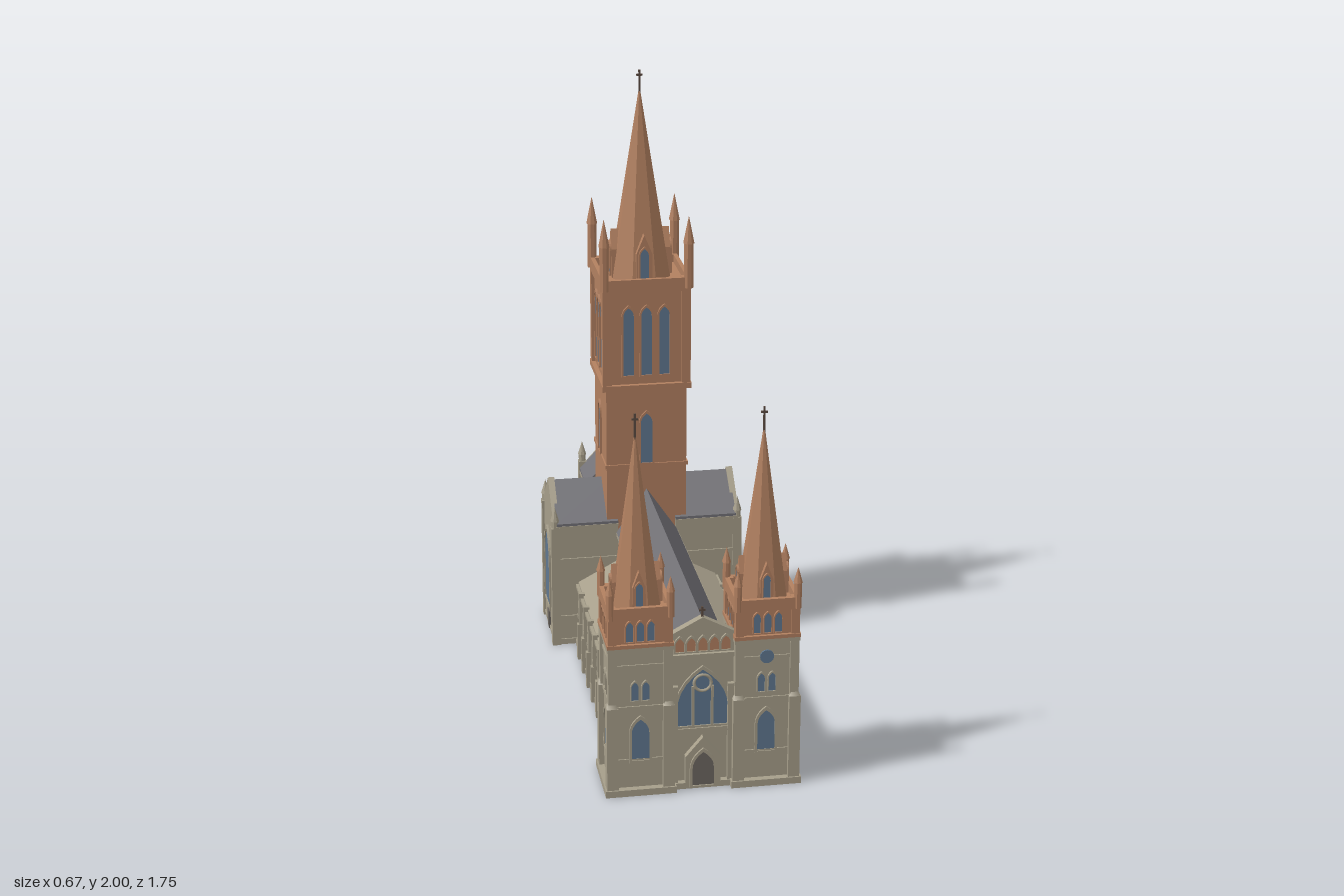
import * as THREE from 'three';

const mat = (name, color) => {
  const m = new THREE.MeshStandardMaterial({ color });
  m.name = name;
  return m;
};
const stone = mat('grey stone', 0xa69e8a);
const sand = mat('red sandstone', 0xb28060);
const slate = mat('slate', 0x727176);
const glass = mat('window glass', 0x5f7790);
const wood = mat('door wood', 0x6c6661);
const iron = mat('iron', 0x5a4a40);

function add(parent, name, geo, material, x = 0, y = 0, z = 0) {
  const m = new THREE.Mesh(geo, material);
  m.name = name;
  m.position.set(x, y, z);
  parent.add(m);
  return m;
}
function sub(parent, name, x = 0, z = 0, turn = 0) {
  const g = new THREE.Group();
  g.name = name;
  g.position.set(x, 0, z);
  g.rotation.y = turn;
  parent.add(g);
  return g;
}
const corners = [[1, 1], [1, -1], [-1, 1], [-1, -1]];

// box given by its two opposite corners
function block(p, name, m, x0, x1, y0, y1, z0, z1) {
  return add(p, name, new THREE.BoxGeometry(Math.abs(x1 - x0), y1 - y0, Math.abs(z1 - z0)), m,
    (x0 + x1) / 2, (y0 + y1) / 2, (z0 + z1) / 2);
}
const poly = pts => new THREE.Shape(pts.map(q => new THREE.Vector2(q[0], q[1])));
const extrude = (shape, depth) => new THREE.ExtrudeGeometry(shape, { depth, bevelEnabled: false, curveSegments: 5 });
const square = h => [[-h, -h], [h, -h], [h, h], [-h, h]];

// hollow square band of walls
function ring(p, name, m, half, t, y0, y1) {
  const s = poly(square(half));
  s.holes.push(poly(square(half - t)));
  return add(p, name, extrude(s, y1 - y0).rotateX(-Math.PI / 2), m, 0, y0, 0);
}
function cone(p, name, m, r, y0, y1, x = 0, z = 0) {
  const g = new THREE.ConeGeometry(r, y1 - y0, 8).rotateY(Math.PI / 8).toNonIndexed();
  g.computeVertexNormals();
  return add(p, name, g, m, x, (y0 + y1) / 2, z);
}
function arch(w, h, y0 = 0, rise = 0.85 * w) {
  const a = w / 2, s = h - rise, c = s + rise * 0.6;
  const sh = new THREE.Shape();
  sh.moveTo(-a, y0).lineTo(a, y0).lineTo(a, s);
  sh.quadraticCurveTo(a, c, 0, h).quadraticCurveTo(-a, c, -a, s);
  return sh.closePath();
}
// pointed window with a raised frame, facing +z
function lancet(p, w, h, x, y, z, frameMat = stone, paneMat = glass) {
  const t = Math.min(0.008, w * 0.16);
  add(p, 'windowPane', extrude(arch(w, h), 0.004), paneMat, x, y, z - 0.001);
  const f = arch(w + 2 * t, h + 1.6 * t, -t);
  f.holes.push(arch(w, h));
  add(p, 'windowFrame', extrude(f, 0.008), frameMat, x, y, z - 0.001);
}
function pinnacle(p, m, x, z, r, y0, y1, y2) {
  const g = new THREE.CylinderGeometry(r, r, y1 - y0, 8).rotateY(Math.PI / 8).toNonIndexed();
  g.computeVertexNormals();
  add(p, 'pinnacleShaft', g, m, x, (y0 + y1) / 2, z);
  cone(p, 'pinnacleCap', m, r * 1.2, y1, y2, x, z);
}
function cross(p, y0, y1, z = 0) {
  const b = y0 + (y1 - y0) * 0.6;
  block(p, 'crossPost', iron, -0.003, 0.003, y0 - 0.03, y1, z - 0.003, z + 0.003);
  block(p, 'crossBar', iron, -0.01, 0.01, b, b + 0.006, z - 0.003, z + 0.003);
}

// belfry stage with corner piers, parapet, pinnacles, spire and dormers
function belfry(p, o) {
  const { half: H, y0, deck, top, tip, end, r, inset, pier } = o;
  block(p, 'belfryBody', sand, -H + inset, H - inset, y0, deck, -H + inset, H - inset);
  ring(p, 'belfryFoot', sand, H + 0.003, 0.03, y0, y0 + o.foot);
  ring(p, 'parapet', sand, H, 0.014, deck - o.foot, top);
  for (const [i, j] of corners) {
    const c = H - pier / 2;
    add(p, 'belfryPier', new THREE.BoxGeometry(pier, top - y0, pier), sand, i * c, (y0 + top) / 2, j * c);
    pinnacle(p, sand, i * (H - 0.007), j * (H - 0.007), o.pinR, deck - 0.01, o.pinY, o.pinTip);
  }
  cone(p, 'spire', sand, r, deck, tip);
  cross(p, tip, end);
  const w = r * 0.52, e = deck + o.dormer * 0.6;
  for (let k = 0; k < 4; k++) {
    const side = sub(p, 'belfrySide', 0, 0, k * Math.PI / 2);
    for (const i of [-1, 0, 1]) lancet(side, o.winW, o.winH, i * o.gap, o.winY, H - inset, sand);
    // dormer on the spire
    const s = poly([[-w / 2, deck], [w / 2, deck], [w / 2, e], [0, deck + o.dormer], [-w / 2, e]]);
    add(side, 'spireDormer', extrude(s, r * 0.45), sand, 0, 0, r * 0.5);
    lancet(side, w * 0.55, o.dormer * 0.66, 0, deck + 0.01, r * 0.95, sand);
  }
}

function westTower(root, s) {
  const p = sub(root, s > 0 ? 'leftWestTower' : 'rightWestTower', s * 0.197, 0.765);
  ring(p, 'towerWalls', stone, 0.09, 0.02, 0, 0.5);
  ring(p, 'towerPlinth', stone, 0.111, 0.03, 0, 0.022);
  for (const y of [0.11, 0.29, 0.43]) ring(p, 'stringCourse', stone, 0.094, 0.01, y, y + 0.01);
  ring(p, 'towerCornice', stone, 0.102, 0.02, 0.488, 0.502);
  for (const [i, j] of corners) {
    block(p, 'upperButtress', stone, i * 0.072, i * 0.1, 0, 0.49, j * 0.072, j * 0.1);
    block(p, 'lowerButtress', stone, i * 0.07, i * 0.106, 0, 0.3, j * 0.07, j * 0.106);
    add(p, 'buttressCap', new THREE.ConeGeometry(0.025, 0.04, 4).rotateY(Math.PI / 4), stone, i * 0.088, 0.32, j * 0.088);
  }
  for (let k = 0; k < 4; k++) {
    const side = sub(p, 'towerSide', 0, 0, k * Math.PI / 2);
    lancet(side, 0.055, 0.14, 0, 0.115, 0.09);
    for (const i of [-1, 1]) lancet(side, 0.022, 0.062, i * 0.017, 0.32, 0.09);
  }
  if (s > 0) add(p, 'roundWindow', new THREE.CylinderGeometry(0.022, 0.022, 0.006, 16).rotateX(Math.PI / 2), glass, 0, 0.437, 0.092);
  belfry(p, { half: 0.1, inset: 0.007, pier: 0.026, foot: 0.012, y0: 0.5, deck: 0.605, top: 0.632, tip: 1.17, end: 1.222, r: 0.078,
    pinR: 0.012, pinY: 0.68, pinTip: 0.73, dormer: 0.135, winW: 0.022, winH: 0.066, winY: 0.52, gap: 0.033 });
}

function roof(p, half, eave, ridge, z0, z1) {
  const t = 0.016;
  const s = poly([[-half, eave], [0, ridge], [half, eave], [half, eave - t], [0, ridge - t], [-half, eave - t]].reverse());
  add(p, 'roof', extrude(s, z1 - z0), slate, 0, 0, z0);
}
function gable(p, half, eave, ridge, z0, z1) {
  const s = poly([[-half, 0], [half, 0], [half, eave], [0, ridge], [-half, eave]]);
  add(p, 'gableWall', extrude(s, z1 - z0), stone, 0, 0, z0);
}

// gabled wing running out along local +z
function wing(root, name, z, turn, half, eave, z0, z1, win) {
  const p = sub(root, name, 0, z, turn);
  for (const s of [-1, 1]) {
    block(p, 'wingWall', stone, s * (half - 0.02), s * half, 0, eave, z0, z1 - 0.01);
    for (const y of [0.012, 0.1, 0.315, eave - 0.014])
      block(p, 'stringCourse', stone, s * (half - 0.01), s * (half + 0.005), y, y + 0.01, z0, z1 - 0.01);
    block(p, 'cornerButtress', stone, s * (half - 0.022), s * (half + 0.006), 0, 0.44, z1 - 0.03, z1);
    pinnacle(p, stone, s * (half - 0.008), z1 - 0.014, 0.013, 0.43, 0.465, 0.515);
  }
  gable(p, half, eave, 0.575, z1 - 0.03, z1 - 0.008);
  roof(p, half + 0.003, eave + 0.005, 0.566, z0, z1 - 0.02);
  for (const y of [0.012, 0.1, 0.315]) block(p, 'stringCourse', stone, -half, half, y, y + 0.01, z1 - 0.02, z1 - 0.004);
  lancet(p, win[0], win[1], 0, win[2], z1 - 0.006);
  return p;
}

function aisle(p, s, z0, z1, bays, nave) {
  const wall = poly([[0.24, 0], [0.24, 0.235], [0.1, 0.31], [0.1, 0.295], [0.225, 0.225], [0.225, 0]].map(q => [s * q[0], q[1]]));
  add(p, 'aisleWallAndRoof', extrude(wall, z1 - z0), stone, 0, 0, z0);
  const end = poly([[0.1, 0], [0.24, 0], [0.24, 0.234], [0.1, 0.309]].map(q => [s * q[0], q[1]]));
  add(p, 'aisleEndWall', extrude(end, 0.012), stone, 0, 0, z0);
  for (const [y, d] of [[0.01, 0.012], [0.115, 0.006], [0.226, 0.01]])
    block(p, 'aisleString', stone, s * 0.235, s * (0.24 + d), y - 0.01, y + 0.01 * (y > 0.02 ? 0.2 : 1), z0, z1);
  block(p, 'clerestoryString', stone, s * 0.095, s * 0.108, 0.302, 0.316, z0, z1);
  block(p, 'eavesCornice', stone, s * 0.095, s * 0.107, 0.398, 0.41, z0, z1);
  const step = nave ? 0.111 : 0.088;
  const side = sub(p, 'aisleWindows', 0, 0, s * Math.PI / 2);
  for (let i = 0; i < bays; i++) {
    const z = (nave ? 0.602 : -0.558) - i * step;
    lancet(side, 0.044, 0.13, -s * z, 0.068, 0.24);
    for (const k of [-1, 1]) lancet(side, 0.02, 0.065, -s * z + k * 0.014, 0.322, 0.1);
    const b = z - step / 2;
    if (nave && i === bays - 1) continue;
    block(p, 'buttress', stone, s * 0.235, s * 0.262, 0, 0.13, b - 0.01, b + 0.01);
    block(p, 'buttressTop', stone, s * 0.235, s * 0.255, 0.13, 0.245, b - 0.008, b + 0.008);
  }
}

export function createModel() {
  const root = new THREE.Group();
  root.name = 'cathedral';

  // nave, aisles and west towers
  const nave = sub(root, 'nave');
  roof(nave, 0.106, 0.41, 0.566, -0.7, 0.825);
  for (const s of [-1, 1]) {
    block(nave, 'clerestoryWall', stone, s * 0.085, s * 0.1, 0.29, 0.405, -0.69, 0.825);
    aisle(nave, s, -0.235, 0.68, 8, true);
    aisle(nave, s, -0.695, -0.515, 2, false);
    westTower(root, s);
  }

  // west front between the towers
  const front = sub(root, 'westFront');
  gable(front, 0.11, 0.515, 0.573, 0.81, 0.835);
  cross(front, 0.57, 0.605, 0.825);
  lancet(front, 0.16, 0.19, 0, 0.21, 0.835);
  for (const x of [-0.03, 0.03]) block(front, 'mullion', stone, x - 0.004, x + 0.004, 0.21, 0.345, 0.835, 0.845);
  add(front, 'roseTracery', new THREE.TorusGeometry(0.027, 0.005, 6, 20), stone, 0, 0.355, 0.84);
  for (let i = -2; i <= 2; i++) lancet(front, 0.028, 0.046, i * 0.036, 0.463, 0.835, stone, sand);
  block(front, 'sillBand', stone, -0.1, 0.1, 0.188, 0.203, 0.83, 0.846);
  block(front, 'upperBand', stone, -0.1, 0.1, 0.44, 0.455, 0.83, 0.846);
  block(front, 'frontPlinth', stone, -0.1, 0.1, 0, 0.02, 0.83, 0.855);
  for (const s of [-1, 1]) block(front, 'frontPier', stone, s * 0.078, s * 0.1, 0, 0.35, 0.82, 0.85);
  const porch = poly([[-0.055, 0], [0.055, 0], [0.055, 0.11], [0, 0.175], [-0.055, 0.11]]);
  add(front, 'porch', extrude(porch, 0.025), stone, 0, 0, 0.83);
  lancet(front, 0.068, 0.115, 0, 0.012, 0.855, stone, wood);

  // transepts and chancel
  for (const s of [-1, 1]) {
    const t = wing(root, s > 0 ? 'leftTransept' : 'rightTransept', -0.377, s * Math.PI / 2, 0.138, 0.45, 0.1, 0.333, [0.12, 0.28, 0.105]);
    block(t, 'transeptDoor', wood, -0.02, 0.02, 0.01, 0.073, 0.32, 0.331);
  }
  const chancel = wing(root, 'chancel', 0, Math.PI, 0.148, 0.41, 0.69, 0.875, [0.15, 0.32, 0.105]);
  gable(chancel, 0.148, 0.41, 0.562, 0.69, 0.705);
  for (const s of [-1, 1]) lancet(sub(chancel, 'chancelSide', 0, 0, s * Math.PI / 2), 0.075, 0.24, -s * 0.782, 0.105, 0.148);

  // central tower over the crossing
  const tower = sub(root, 'centralTower', 0, -0.38);
  block(tower, 'towerShaft', sand, -0.138, 0.138, 0.41, 0.95, -0.138, 0.138);
  ring(tower, 'stringCourse', sand, 0.143, 0.02, 0.648, 0.66);
  for (let k = 0; k < 4; k++) lancet(sub(tower, 'shaftSide', 0, 0, k * Math.PI / 2), 0.04, 0.18, 0, 0.663, 0.138, sand);
  belfry(tower, { half: 0.15, inset: 0.012, pier: 0.03, foot: 0.02, y0: 0.93, deck: 1.295, top: 1.322, tip: 1.95, end: 2.0, r: 0.105,
    pinR: 0.016, pinY: 1.44, pinTip: 1.535, dormer: 0.165, winW: 0.036, winH: 0.24, winY: 0.982, gap: 0.061 });
  return root;
}
